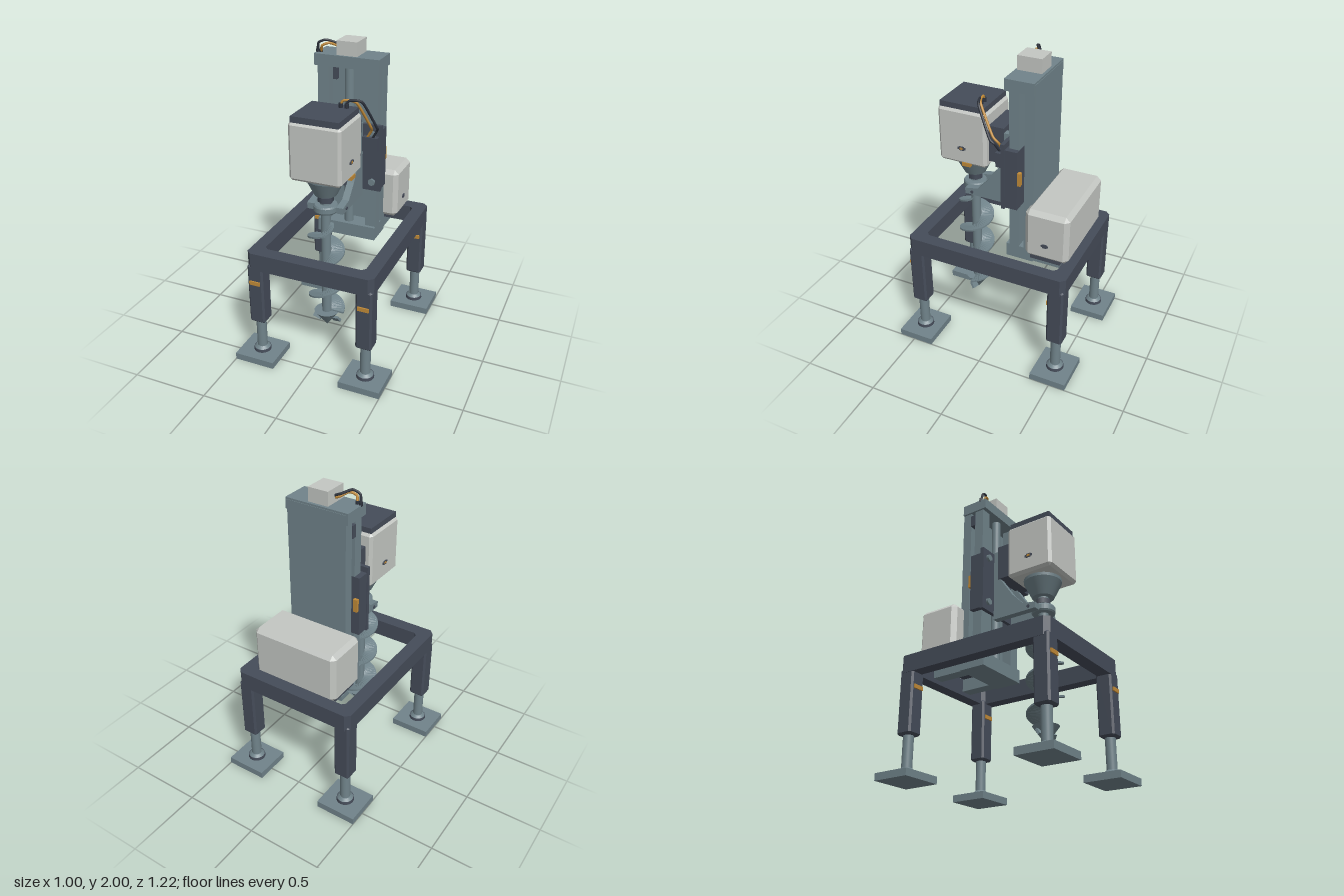
import * as THREE from 'three';
import { ConvexGeometry } from 'three/addons/geometries/ConvexGeometry.js';

const paint = (name, color, extra = {}) =>
  Object.assign(new THREE.MeshStandardMaterial({ color, ...extra }), { name });

export function createModel() {
  const model = new THREE.Group();
  model.name = 'drillRig';
  const dark = paint('darkFramePaint', 0x454c59);
  const steel = paint('blueGreySteel', 0x70838a);
  const light = paint('lightHousing', 0xc3c6c2);
  const orange = paint('orangeMarking', 0xc08a38);
  const black = paint('blackCable', 0x2d323c);

  const add = (name, geo, mat, x = 0, y = 0, z = 0) => {
    const m = new THREE.Mesh(geo, mat);
    m.name = name;
    m.position.set(x, y, z);
    model.add(m);
    return m;
  };
  // box given by its minimum and maximum on each axis
  const box = (name, mat, x0, x1, y0, y1, z0, z1) =>
    add(name, new THREE.BoxGeometry(x1 - x0, y1 - y0, z1 - z0), mat,
      (x0 + x1) / 2, (y0 + y1) / 2, (z0 + z1) / 2);
  // box with all twelve edges cut by c
  const cutBox = (name, mat, x0, x1, y0, y1, z0, z1, c) => {
    const h = [(x1 - x0) / 2, (y1 - y0) / 2, (z1 - z0) / 2];
    const pts = [];
    for (const sx of [-1, 1]) for (const sy of [-1, 1]) for (const sz of [-1, 1])
      for (let full = 0; full < 3; full++) {
        const p = h.map((v, i) => (i === full ? v : v - c));
        pts.push(new THREE.Vector3(sx * p[0], sy * p[1], sz * p[2]));
      }
    return add(name, new ConvexGeometry(pts), mat, (x0 + x1) / 2, (y0 + y1) / 2, (z0 + z1) / 2);
  };
  const cyl = (name, mat, rTop, rBottom, y0, y1, x, z, sides = 32) =>
    add(name, new THREE.CylinderGeometry(rTop, rBottom, y1 - y0, sides), mat, x, (y0 + y1) / 2, z);
  const cable = (name, mat, pts) => add(name, new THREE.TubeGeometry(
    new THREE.CatmullRomCurve3(pts.map(p => new THREE.Vector3(...p)), false, 'catmullrom', 0.3),
    32, 0.008, 8), mat);
  const cutRect = (Type, x0, x1, y0, y1, c) => new Type([
    [x0 + c, y0], [x1 - c, y0], [x1, y0 + c], [x1, y1 - c],
    [x1 - c, y1], [x0 + c, y1], [x0, y1 - c], [x0, y0 + c],
  ].map(p => new THREE.Vector2(...p)));

  // Table frame
  const rim = cutRect(THREE.Shape, -0.42, 0.42, -0.54, 0.545, 0.03);
  rim.holes.push(cutRect(THREE.Path, -0.336, 0.336, -0.45, 0.46, 0.022));
  const frameGeo = new THREE.ExtrudeGeometry(rim, { depth: 0.115, bevelEnabled: false });
  frameGeo.rotateX(-Math.PI / 2);
  add('tableFrame', frameGeo, dark, 0, 0.673, 0);

  // Telescopic legs with feet and front markers
  for (const sx of [-1, 1]) for (const sz of [-1, 1]) {
    const x = sx * 0.364, z = sz * 0.487;
    cutBox('legSleeve', dark, x - 0.053, x + 0.053, 0.28, 0.7, z - 0.053, z + 0.053, 0.012);
    cyl('legRod', steel, 0.033, 0.033, 0.04, 0.3, x, z);
    cyl('ankleCollar', dark, 0.055, 0.057, 0.045, 0.065, x, z);
    cyl('ankleCone', steel, 0.036, 0.052, 0.065, 0.082, x, z);
    box('footPlate', steel, x - 0.136, x + 0.136, 0, 0.045, z - 0.121, z + 0.121);
    box('legMarker', orange, x - 0.036, x + 0.036, 0.566, 0.592, z + 0.053, z + 0.062);
  }

  // Mast base, rails, back plate and head
  box('mastBase', steel, -0.2, 0.2, 0.7, 0.79, -0.242, -0.06);
  for (const s of [-1, 1]) {
    box('baseArm', steel, s * 0.15 - 0.04, s * 0.15 + 0.04, 0.7, 0.785, -0.47, -0.24);
    box('mastRail', steel, s * 0.163 - 0.037, s * 0.163 + 0.037, 0.78, 1.85, -0.147, -0.082);
  }
  box('mastBackPlate', steel, -0.2, 0.2, 0.78, 1.9, -0.243, -0.18);
  box('mastHead', steel, -0.212, 0.212, 1.84, 1.912, -0.24, -0.055);
  cyl('leadScrew', steel, 0.03, 0.03, 0.78, 1.85, 0, -0.115);
  box('liftMotor', light, -0.068, 0.066, 1.91, 2, -0.222, -0.068);
  box('limitSwitch', dark, -0.205, -0.1, 1.735, 1.815, -0.18, -0.147);

  // Carriage
  box('carriagePlate', dark, -0.24, 0.24, 1.07, 1.51, -0.067, -0.043);
  for (const s of [-1, 1]) {
    box('railShoe', dark, s * 0.18 - 0.055, s * 0.18 + 0.055, 1.08, 1.475, -0.148, -0.067);
    box('shoeMarker', orange, s * 0.218 - 0.014, s * 0.218 + 0.014, 1.25, 1.335, -0.168, -0.148);
    for (const y of [1.13, 1.45]) {
      const bolt = cyl('carriageBolt', steel, 0.024, 0.024, y - 0.008, y + 0.008, s * 0.185, -0.035, 6);
      bolt.rotation.x = Math.PI / 2;
    }
  }
  box('junctionBox', dark, 0.13, 0.228, 1.345, 1.44, -0.043, -0.003);

  // Bearing arms, drawn as (z, y) profiles
  const arm = new THREE.Shape([[-0.045, 1.03], [0.27, 1.03], [0.27, 1.07], [0.18, 1.085],
    [0.1, 1.17], [0, 1.32], [0, 1.52], [-0.045, 1.52]].map(p => new THREE.Vector2(...p)));
  for (const x of [-0.12, 0.075]) {
    const geo = new THREE.ExtrudeGeometry(arm, { depth: 0.045, bevelEnabled: false });
    geo.rotateY(-Math.PI / 2);
    add('bearingArm', geo, steel, x + 0.045, 0, 0);
  }
  for (const s of [-1, 1]) {
    const bolt = cyl('armBolt', dark, 0.011, 0.011, 1.048, 1.056, s * 0.122, 0.22, 6);
    bolt.rotation.z = Math.PI / 2;
  }
  box('motorMount', dark, -0.125, 0.122, 1.31, 1.55, -0.008, 0.1);

  // Drill motor housing
  const cz = 0.257;
  cutBox('motorHousing', light, -0.167, 0.167, 1.27, 1.635, 0.092, 0.418, 0.018);
  box('motorLid', dark, -0.152, 0.152, 1.63, 1.668, 0.108, 0.405);
  for (const s of [-1, 1]) {
    const x = s * 0.168;
    box('motorPlug', dark, x - 0.004, x + 0.004, 1.367, 1.393, cz - 0.016, cz + 0.016);
    box('motorPlugBar', dark, x - 0.003, x + 0.003, 1.373, 1.387, cz - 0.027, cz + 0.027);
    box('motorPlugCore', orange, x - 0.006, x + 0.006, 1.373, 1.387, cz - 0.01, cz + 0.01);
  }
  box('motorMarker', orange, 0.148, 0.17, 1.26, 1.285, 0.2, 0.258);

  // Gear cone, coupling and bearing ring
  cyl('gearFlange', steel, 0.124, 0.122, 1.25, 1.275, 0, cz);
  cyl('gearCone', steel, 0.122, 0.07, 1.145, 1.25, 0, cz);
  cyl('couplingNeck', steel, 0.035, 0.035, 1.07, 1.15, 0, cz);
  cyl('couplingNut', dark, 0.05, 0.05, 1.095, 1.13, 0, cz, 6);
  const ring = [[0.034, 1.03], [0.07, 1.03], [0.076, 1.04], [0.076, 1.07], [0.07, 1.08], [0.034, 1.08], [0.034, 1.03]];
  add('bearingRing', new THREE.LatheGeometry(ring.map(p => new THREE.Vector2(...p)), 32).toNonIndexed(), steel, 0, 0, cz)
    .geometry.computeVertexNormals();

  // Auger shaft, helical flight and tip
  cyl('augerShaft', steel, 0.031, 0.031, 0.29, 1.1, 0, cz);
  const pos = [], idx = [], turns = 3, steps = 120, pitch = 0.215;
  for (let i = 0; i <= steps; i++) {
    const t = i / steps, a = t * turns * Math.PI * 2, y = 0.95 - t * turns * pitch;
    const ro = 0.05 + 0.067 * Math.min(1, t * turns * 5);
    for (const [r, dy] of [[0.025, -0.006], [ro, -0.006], [ro, 0.006], [0.025, 0.006]])
      pos.push(r * Math.cos(a), y + dy, r * Math.sin(a));
    if (i < steps) for (let j = 0; j < 4; j++) {
      const p = i * 4 + j, q = i * 4 + (j + 1) % 4;
      idx.push(p, q, q + 4, p, q + 4, p + 4);
    }
  }
  const e = steps * 4;
  idx.push(0, 2, 1, 0, 3, 2, e, e + 1, e + 2, e, e + 2, e + 3);
  let flight = new THREE.BufferGeometry();
  flight.setAttribute('position', new THREE.Float32BufferAttribute(pos, 3));
  flight.setIndex(idx);
  flight = flight.toNonIndexed();
  flight.computeVertexNormals();
  add('augerFlight', flight, steel, 0, 0, cz);
  cyl('augerTip', steel, 0.082, 0.001, 0.19, 0.302, 0, cz, 24);
  for (const s of [-1, 1]) {
    const tooth = add('cutterTooth', new THREE.BoxGeometry(0.055, 0.045, 0.016), steel, s * 0.064, 0.247, cz);
    tooth.rotation.set(s * 0.6, 0, s * 0.25);
  }

  // Battery pack on the rear beam
  box('batteryTray', dark, -0.27, 0.27, 0.785, 0.812, -0.455, -0.255);
  cutBox('batteryPack', light, -0.295, 0.293, 0.807, 1.14, -0.508, -0.222, 0.028);
  box('batteryPlug', dark, 0.292, 0.298, 0.902, 0.928, -0.373, -0.347);
  box('batteryPlugBar', dark, 0.292, 0.296, 0.908, 0.922, -0.383, -0.337);

  // Cables
  for (const x of [0.055, 0.092]) cyl('lidSocket', black, 0.013, 0.013, 1.66, 1.695, x, 0.152, 12);
  cable('motorCableOrange', orange, [[0.055, 1.68, 0.152], [0.07, 1.712, 0.15], [0.145, 1.7, 0.13],
    [0.195, 1.53, 0.03], [0.19, 1.49, -0.005], [0.155, 1.43, -0.02]]);
  cable('motorCableBlack', black, [[0.092, 1.68, 0.152], [0.105, 1.714, 0.15], [0.18, 1.705, 0.125],
    [0.235, 1.53, 0.03], [0.23, 1.5, 0], [0.19, 1.43, -0.02]]);
  for (const x of [-0.205, -0.182]) cyl('headSocket', black, 0.011, 0.011, 1.905, 1.93, x, -0.1, 12);
  cable('liftCableBlack', black, [[-0.065, 1.955, -0.15], [-0.1, 1.968, -0.138], [-0.15, 1.99, -0.1],
    [-0.195, 1.97, -0.09], [-0.205, 1.91, -0.1]]);
  cable('liftCableOrange', orange, [[-0.065, 1.94, -0.145], [-0.09, 1.95, -0.14], [-0.13, 1.972, -0.1],
    [-0.17, 1.955, -0.085], [-0.182, 1.91, -0.1]]);

  return model;
}
